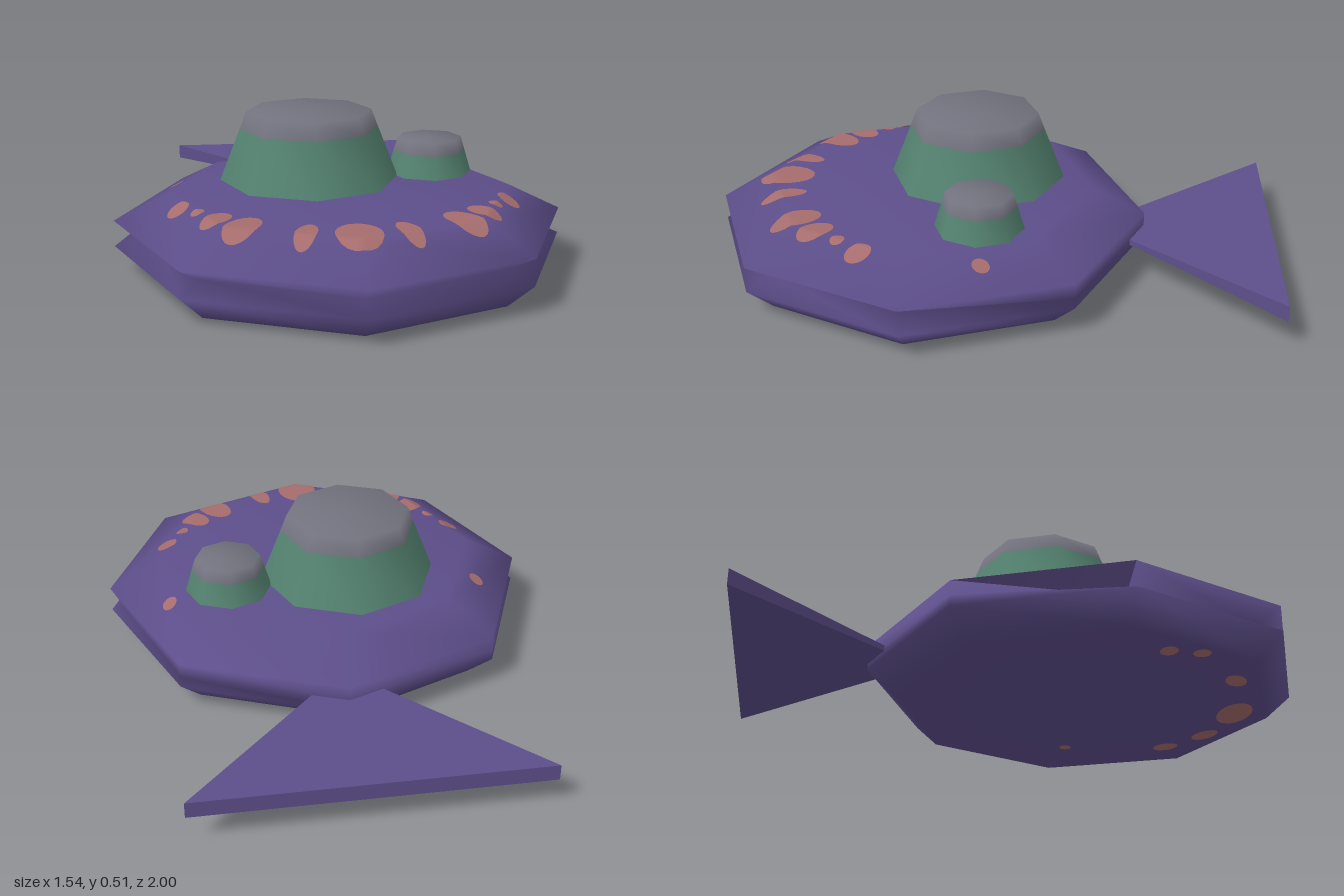
import * as THREE from 'three';
import { mergeVertices } from 'three/addons/utils/BufferGeometryUtils.js';

const SIDES = 8, CENTRE_Z = 0.225;

const mat = (name, color, side = THREE.FrontSide) => {
  const m = new THREE.MeshStandardMaterial({ color, side });
  m.name = name;
  return m;
};

// Eight-sided lathe with a welded seam, optionally reshaped, with smooth normals
function smoothLathe(profile, reshape) {
  let geo = new THREE.LatheGeometry(profile.map(([r, y]) => new THREE.Vector2(r, y)), SIDES);
  geo.deleteAttribute('uv');
  geo.deleteAttribute('normal');
  const pos = geo.attributes.position, v = new THREE.Vector3();
  if (reshape) {
    for (let i = 0; i < pos.count; i++) {
      reshape(v.fromBufferAttribute(pos, i));
      pos.setXYZ(i, v.x, v.y, v.z);
    }
  }
  geo = mergeVertices(geo);
  geo.computeVertexNormals();
  return geo;
}

// Height of the upper body surface: flat lid, then sloping facets
function topHeight(x, z) {
  let d = 0;
  for (let i = 0; i < SIDES; i++) {
    const a = (i + 0.5) * Math.PI * 2 / SIDES;
    d = Math.max(d, x * Math.sin(a) + (z - CENTRE_Z) * Math.cos(a));
  }
  return 0.272 - Math.max(0, d - 0.5405) * 0.54;
}

export function createModel() {
  const model = new THREE.Group();
  const skin = mat('purple skin', 0x5d4e8a);
  const green = mat('green eye', 0x548270);
  const grey = mat('grey eye top', 0x71727d);
  const pink = mat('pink spot', 0xa56c6c, THREE.DoubleSide);

  const add = (name, geo, material, x = 0, y = 0, z = 0) => {
    const mesh = new THREE.Mesh(geo, material);
    mesh.name = name;
    mesh.position.set(x, y, z);
    model.add(mesh);
    return mesh;
  };

  // Body: flat octagon whose middle ring is pushed in at the front and sides as a mouth
  const body = smoothLathe(
    [[0, 0.003], [0.677, 0.003], [0.772, 0.09], [0.772, 0.128], [0.772, 0.18], [0.585, 0.272], [0, 0.272]],
    (p) => {
      if (Math.abs(p.y - 0.128) < 0.001 && p.z > -0.01) {
        const r = Math.hypot(p.x, p.z);
        const inner = 0.63 + 0.07 * p.z / r;
        p.x *= inner / r;
        p.z *= inner / r;
      }
    });
  add('body', body, skin, 0, 0, CENTRE_Z);

  // Eyes: tapered stalks with grey tops
  const eye = (name, x, z, rBase, rSplit, rTop, ySplit, yTop) => {
    const geo = smoothLathe([[rBase, 0.265], [rSplit, ySplit], [rTop, yTop], [0, yTop]]);
    for (let i = 0; i < SIDES; i++) {
      geo.addGroup(i * 18, 6, 0);
      geo.addGroup(i * 18 + 6, 12, 1);
    }
    add(name, geo, [green, grey], x, 0, z);
  };
  eye('largeEye', -0.092, 0.065, 0.318, 0.243, 0.22, 0.455, 0.515);
  eye('smallEye', 0.346, 0.012, 0.155, 0.129, 0.115, 0.352, 0.397);

  // Tail: wedge that widens and thickens toward the back
  const tail = new THREE.BoxGeometry(2, 2, 0.6);
  const tp = tail.attributes.position;
  for (let i = 0; i < tp.count; i++) {
    const back = tp.getZ(i) < 0;
    tp.setX(i, tp.getX(i) * (back ? 0.57 : 0.035));
    tp.setY(i, tp.getY(i) * (back ? 0.027 : 0.006));
  }
  tail.computeVertexNormals();
  add('tail', tail, skin, 0, 0.122, -0.7);

  // Spots: thin ovals that follow the surface; turn tilts them about y
  const spot = (name, x, z, w, h, turn, height) => {
    const geo = new THREE.RingGeometry(0, 1, 20, 6);
    const p = geo.attributes.position, c = Math.cos(turn), s = Math.sin(turn);
    for (let i = 0; i < p.count; i++) {
      const u = p.getX(i) * w, v = p.getY(i) * -h;
      const px = x + u * c + v * s, pz = z - u * s + v * c;
      p.setXYZ(i, px, height(px, pz), pz);
    }
    geo.computeVertexNormals();
    add(name, geo, pink);
  };

  // Upper spots, mirrored left and right
  const onTop = (x, z) => topHeight(x, z) + 0.004;
  spot('frontSpot', 0, 0.755, 0.075, 0.1, 0, onTop);
  const upper = [
    [0.16, 0.73, 0.035, 0.082, 0.28], [0.35, 0.64, 0.055, 0.09, 0.5],
    [0.43, 0.555, 0.045, 0.065, 0.6], [0.487, 0.467, 0.023, 0.025, 0],
    [0.55, 0.387, 0.036, 0.045, 0.2], [0.56, -0.015, 0.025, 0.03, 0]];
  for (const side of [1, -1]) {
    for (const [x, z, w, h, t] of upper) spot('topSpot', side * x, z, w, h, side * t, onTop);
  }

  // Belly spots
  const belly = [
    [-0.03, 0.77, 0.1, 0.06, 0], [0.2, 0.73, 0.06, 0.035, 0.5], [0.35, 0.62, 0.05, 0.035, 0.8],
    [0.42, 0.24, 0.022, 0.022, 0], [-0.32, 0.68, 0.05, 0.035, -0.6],
    [-0.52, 0.5, 0.03, 0.03, 0], [-0.52, 0.39, 0.035, 0.03, 0]];
  for (const [x, z, w, h, t] of belly) spot('bellySpot', x, z, w, h, t, () => 0);

  return model;
}
